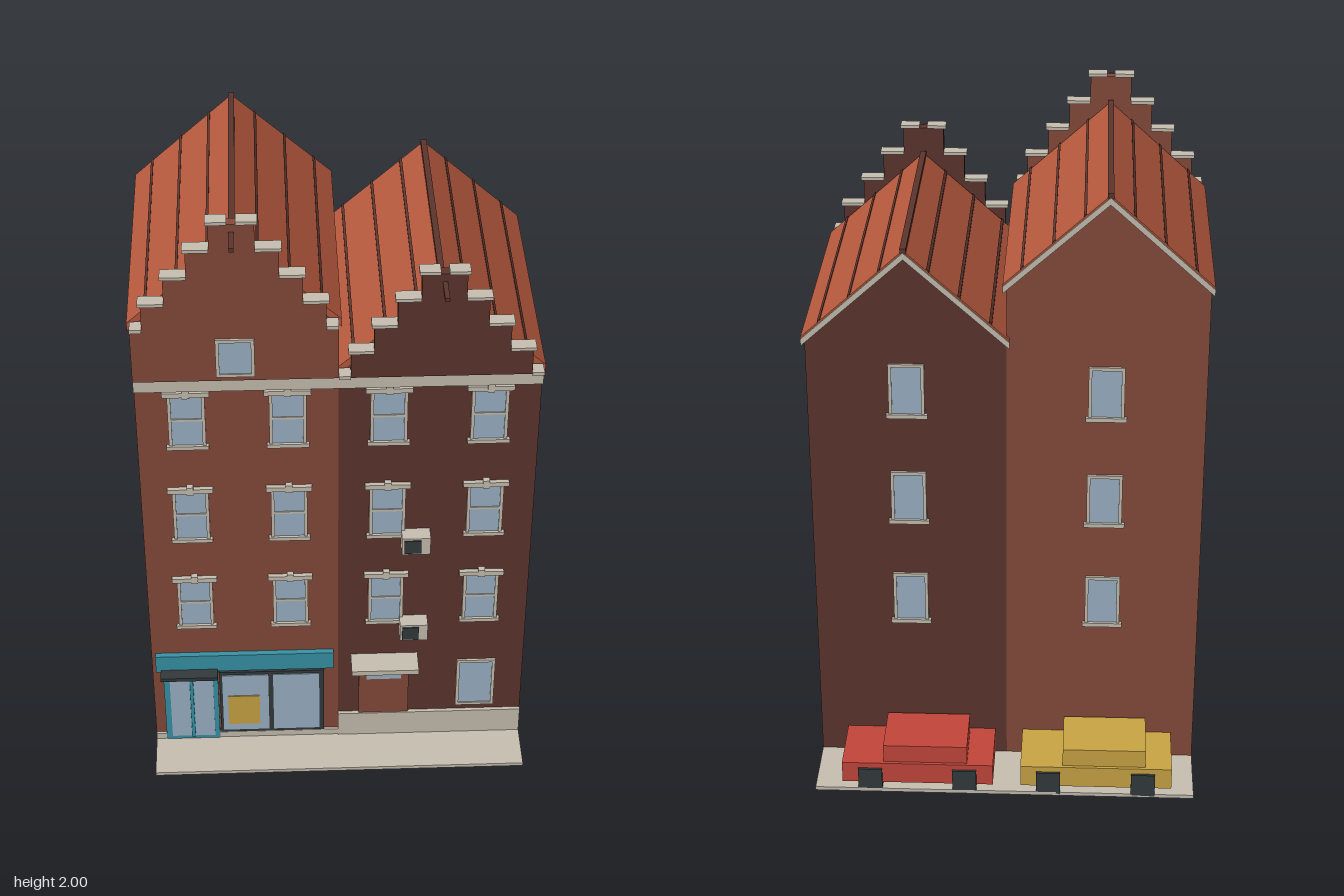
import * as THREE from 'three';

const mat = (name, color, opts = {}) => {
  const m = new THREE.MeshStandardMaterial({ color, ...opts });
  m.name = name;
  return m;
};

export function createModel() {
  const brick = mat('redBrick', 0x854a3a), darkBrick = mat('darkBrick', 0x5c342d);
  const tile = mat('roofTile', 0xb5593d), stone = mat('paleStone', 0xc5beb0);
  const glass = mat('glass', 0x9bb1c6), teal = mat('tealPaint', 0x3792a5);
  const dark = mat('charcoal', 0x33393c), red = mat('carRed', 0xc2463a);
  const yellow = mat('ochreYellow', 0xc9a443);

  const model = new THREE.Group();
  model.name = 'townhouses';

  const group = (name, parent = model) => {
    const g = new THREE.Group();
    g.name = name;
    parent.add(g);
    return g;
  };
  // Box given by its limits on each axis
  const box = (parent, name, m, x0, x1, y0, y1, z0, z1) => {
    const mesh = new THREE.Mesh(new THREE.BoxGeometry(x1 - x0, y1 - y0, z1 - z0), m);
    mesh.position.set((x0 + x1) / 2, (y0 + y1) / 2, (z0 + z1) / 2);
    mesh.name = name;
    parent.add(mesh);
    return mesh;
  };
  // Outline in x, y pushed from z0 to z1
  const prism = (parent, name, m, pts, z0, z1) => {
    const shape = new THREE.Shape(pts.map(([x, y]) => new THREE.Vector2(x, y)));
    const mesh = new THREE.Mesh(new THREE.ExtrudeGeometry(shape, { depth: z1 - z0, bevelEnabled: false }), m);
    mesh.position.z = z0;
    mesh.name = name;
    parent.add(mesh);
    return mesh;
  };

  // Window built facing +z, origin on the wall at the bottom centre
  const makeWindow = (parent, name, x, y, z, w, h, { back = false, lintel = false, sill = true, bar = false } = {}) => {
    const g = group(name, parent);
    g.position.set(x, y, z);
    if (back) g.rotation.y = Math.PI;
    const a = w / 2, t = 0.01, d = 0.008;
    box(g, 'pane', glass, -a + t, a - t, t, h - t, 0, 0.004);
    for (const s of [-1, 1]) box(g, 'jamb', stone, s * (a - t / 2) - t / 2, s * (a - t / 2) + t / 2, 0, h, 0, d);
    box(g, 'head', stone, -a + t, a - t, h - t, h, 0, d);
    box(g, 'foot', stone, -a + t, a - t, 0, t, 0, d);
    if (bar) box(g, 'meetingRail', stone, -a + t, a - t, h * 0.5 - 0.004, h * 0.5 + 0.004, 0, 0.007);
    if (sill) box(g, 'sill', stone, -a - 0.008, a + 0.008, -0.002, 0.011, 0, 0.013);
    if (lintel) {
      box(g, 'lintel', stone, -a - 0.014, a + 0.014, h - 0.016, h, 0, 0.014);
      box(g, 'keystone', stone, -0.01, 0.01, h - 0.018, h + 0.009, 0, 0.017);
    }
  };

  const FRONT = 0.425, BACK = -0.375;

  // Pavement
  const ground = group('pavement');
  box(ground, 'pavingSlab', stone, -0.585, 0.585, 0.008, 0.02, -0.585, 0.585);
  box(ground, 'shopThreshold', stone, -0.58, -0.365, 0, 0.01, 0.43, 0.53);

  const makeHouse = (name, cx, wall, eave, gableBase, stepBase) => {
    const g = group(name);
    const hw = 0.2925, rise = 0.265;
    // Body with pointed ends
    prism(g, 'walls', wall, [[cx - hw, 0.02], [cx + hw, 0.02], [cx + hw, eave], [cx, eave + rise], [cx - hw, eave]], BACK, FRONT);

    // Roof slopes, standing seams and ridge
    const run = 0.302, slope = rise / hw, th = 0.027;
    const top = eave + rise + th;
    const roofY = (d) => top - d * slope;
    for (const s of [-1, 1]) {
      const line = (d0, d1, lo, hi) => {
        const p = [[d0, roofY(d0) + lo], [d1, roofY(d1) + lo], [d1, roofY(d1) + hi], [d0, roofY(d0) + hi]];
        return p.map(([d, y]) => [cx + s * d, y]);
      };
      prism(g, 'roofSlope', tile, line(0, run, -th, 0), -0.389, 0.41);
      prism(g, 'rearVerge', stone, line(0, run, -th, -0.006), -0.393, -0.389);
      for (const d of [0.07, 0.158, 0.248]) prism(g, 'roofSeam', darkBrick, line(d - 0.004, d + 0.004, -0.002, 0.005), -0.389, 0.41);
    }
    box(g, 'ridge', darkBrick, cx - 0.009, cx + 0.009, top - 0.012, top + 0.006, -0.39, 0.41);

    // Stepped front gable
    const half = [0.2925, 0.258, 0.193, 0.128, 0.063], step = 0.0875;
    const right = [];
    half.forEach((h, i) => {
      right.push([h, i === 0 ? gableBase : stepBase + (i - 1) * step]);
      right.push([h, stepBase + i * step - 0.01]);
    });
    // The lowest course ends level with the foot of the first step
    right[1][1] = stepBase;
    const outline = [
      ...right.map(([x, y]) => [cx + x, y]),
      ...right.slice().reverse().map(([x, y]) => [cx - x, y]),
    ].filter((p, i, a) => i === 0 || Math.hypot(p[0] - a[i - 1][0], p[1] - a[i - 1][1]) > 1e-5);
    prism(g, 'steppedGable', wall, outline, FRONT, 0.457);
    half.forEach((h, i) => {
      const y = stepBase + i * step, inner = i < 4 ? half[i + 1] : 0.012;
      for (const s of [-1, 1]) {
        const a = cx + s * inner, b = cx + s * (h + (i ? 0.008 : 0));
        box(g, 'stepCap', stone, Math.min(a, b), Math.max(a, b), y - 0.01, y + (i ? 0 : 0.002), 0.42, 0.463);
      }
    });
    const beamY = stepBase + 4 * step - 0.04;
    box(g, 'hoistBeam', darkBrick, cx - 0.007, cx + 0.007, beamY - 0.006, beamY + 0.006, 0.44, 0.54);

    // Cornice
    box(g, 'cornice', stone, cx - hw, cx + hw, 1.425, 1.468, FRONT, 0.449);

    // Upper windows, front and back
    for (const y of [0.502, 0.852, 1.207]) {
      for (const s of [-1, 1]) makeWindow(g, 'sashWindow', cx + s * 0.146, y, FRONT, 0.108, 0.205, { lintel: true, bar: true });
      makeWindow(g, 'rearWindow', cx, y, BACK, 0.106, 0.172, { back: true });
    }
    return g;
  };

  const left = makeHouse('tallHouse', -0.2925, brick, 1.622, 1.468, 1.65);
  const right = makeHouse('lowHouse', 0.2925, darkBrick, 1.447, 1.468, 1.475);

  // Tall house: attic window and shop front
  makeWindow(left, 'atticWindow', -0.2925, 1.485, 0.457, 0.11, 0.128, { sill: false });
  box(left, 'plinth', stone, -0.585, 0, 0.02, 0.042, FRONT, 0.434);
  const shop = group('shopFront', left);
  box(shop, 'fascia', teal, -0.573, -0.015, 0.322, 0.388, FRONT, 0.443);
  box(shop, 'doorCanopy', dark, -0.558, -0.38, 0.318, 0.331, FRONT, 0.482);
  box(shop, 'doorSurround', teal, -0.552, -0.38, 0.02, 0.305, FRONT, 0.436);
  for (const x of [-0.502, -0.427]) {
    box(shop, 'doorPane', glass, x - 0.031, x + 0.031, 0.035, 0.292, 0.436, 0.439);
  }
  box(shop, 'doorMeetingStile', teal, -0.47, -0.459, 0.03, 0.3, 0.436, 0.442);
  box(shop, 'displayFrame', dark, -0.376, -0.045, 0.045, 0.308, FRONT, 0.436);
  for (const x of [-0.294, -0.133]) {
    box(shop, 'displayPane', glass, x - 0.073, x + 0.073, 0.057, 0.296, 0.436, 0.439);
  }
  box(shop, 'poster', yellow, -0.35, -0.25, 0.085, 0.208, 0.439, 0.442);

  // Low house: plinth, entrance, ground floor window, cooling units
  box(right, 'plinth', stone, 0, 0.585, 0.02, 0.113, FRONT, 0.437);
  makeWindow(right, 'groundWindow', 0.437, 0.135, FRONT, 0.122, 0.195, { sill: false });
  const entrance = group('entrance', right);
  box(entrance, 'door', brick, 0.066, 0.224, 0.113, 0.33, FRONT, 0.433);
  box(entrance, 'doorLight', glass, 0.09, 0.2, 0.262, 0.31, 0.433, 0.436);
  box(entrance, 'canopyBracket', stone, 0.055, 0.235, 0.328, 0.346, FRONT, 0.47);
  box(entrance, 'canopy', stone, 0.04, 0.25, 0.346, 0.364, FRONT, 0.506);
  for (const y of [0.845, 0.493]) {
    const unit = group('coolingUnit', right);
    box(unit, 'casing', stone, 0.19, 0.276, y - 0.031, y + 0.031, FRONT, 0.474);
    box(unit, 'grille', dark, 0.197, 0.248, y - 0.024, y + 0.024, 0.474, 0.478);
  }

  // Parked cars behind the houses
  const makeCar = (name, paint, x0, cab0, cab1, wheels) => {
    const car = group(name);
    box(car, 'carBody', paint, x0, x0 + 0.466, 0.038, 0.108, -0.577, -0.378);
    box(car, 'carCabin', paint, cab0, cab1, 0.108, 0.167, -0.567, -0.388);
    for (const x of wheels) {
      box(car, 'wheel', dark, x - 0.037, x + 0.037, 0.012, 0.09, -0.585, -0.55);
      box(car, 'wheel', dark, x - 0.037, x + 0.037, 0.012, 0.09, -0.405, -0.376);
    }
  };
  makeCar('yellowCar', yellow, -0.516, -0.435, -0.18, [-0.428, -0.136]);
  makeCar('redCar', red, 0.035, 0.115, 0.373, [0.123, 0.414]);

  return model;
}
